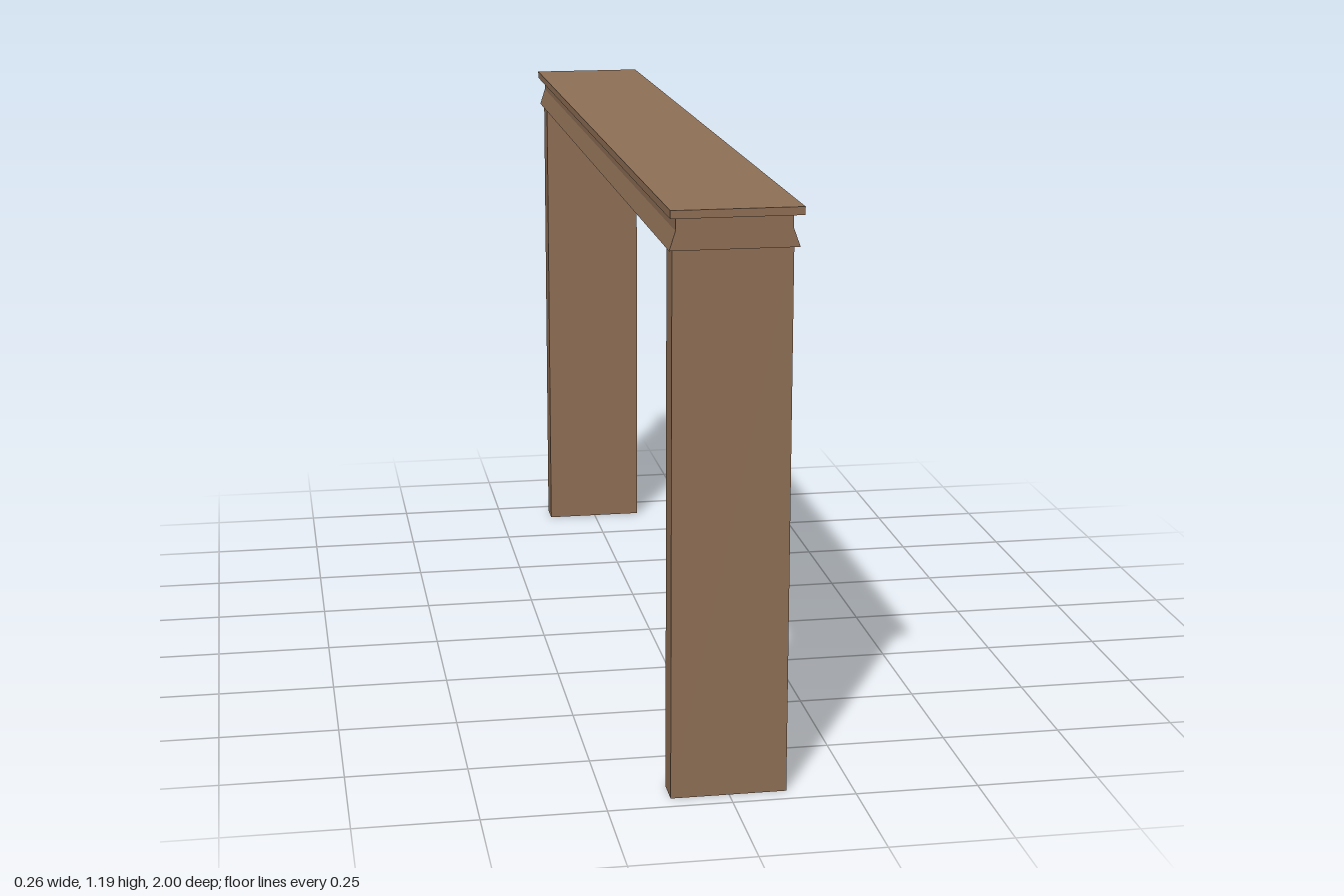
import * as THREE from 'three';

const wood = new THREE.MeshStandardMaterial({ color: 0x8f7056 });
wood.name = 'brown wood';

function add(group, name, geometry, x = 0, y = 0, z = 0) {
  const mesh = new THREE.Mesh(geometry, wood);
  mesh.name = name;
  mesh.position.set(x, y, z);
  group.add(mesh);
  return mesh;
}

export function createModel() {
  const group = new THREE.Group();
  group.name = 'mantelSurround';

  // Flat shelf on top
  add(group, 'topShelf', new THREE.BoxGeometry(0.256, 0.016, 2), 0, 1.18, 0);

  // Crown moulding: flared profile run along the length
  const profile = new THREE.Shape([
    [-0.126, 1.107], [0.125, 1.107], [0.111, 1.145],
    [0.111, 1.172], [-0.114, 1.172], [-0.114, 1.145],
  ].map(([x, y]) => new THREE.Vector2(x, y)));
  add(group, 'crownMoulding',
    new THREE.ExtrudeGeometry(profile, { depth: 1.954, bevelEnabled: false }), 0, 0, -0.977);

  // Plank legs at both ends
  for (const side of [1, -1]) {
    add(group, side > 0 ? 'frontLeg' : 'backLeg',
      new THREE.BoxGeometry(0.234, 1.107, 0.06), -0.001, 0.5535, side * 0.932);
  }

  // Scalloped apron on one long side: mirrored wavy lower edge
  const s = new THREE.Shape();
  s.moveTo(-0.905, 1.107);
  s.lineTo(-0.905, 0.995);
  s.lineTo(-0.66, 1.024);
  s.bezierCurveTo(-0.6, 1.032, -0.58, 1.049, -0.52, 1.049);
  s.bezierCurveTo(-0.46, 1.049, -0.44, 1.03, -0.39, 1.022);
  s.lineTo(-0.06, 0.977);
  s.quadraticCurveTo(0, 0.97, 0.06, 0.977);
  s.lineTo(0.39, 1.022);
  s.bezierCurveTo(0.44, 1.03, 0.46, 1.049, 0.52, 1.049);
  s.bezierCurveTo(0.58, 1.049, 0.6, 1.032, 0.66, 1.024);
  s.lineTo(0.905, 0.995);
  s.lineTo(0.905, 1.107);
  s.closePath();
  const apron = new THREE.ExtrudeGeometry(s, { depth: 0.013, bevelEnabled: false, curveSegments: 8 });
  apron.rotateY(Math.PI / 2);
  add(group, 'scallopedApron', apron, 0.107, 0, 0);

  return group;
}
